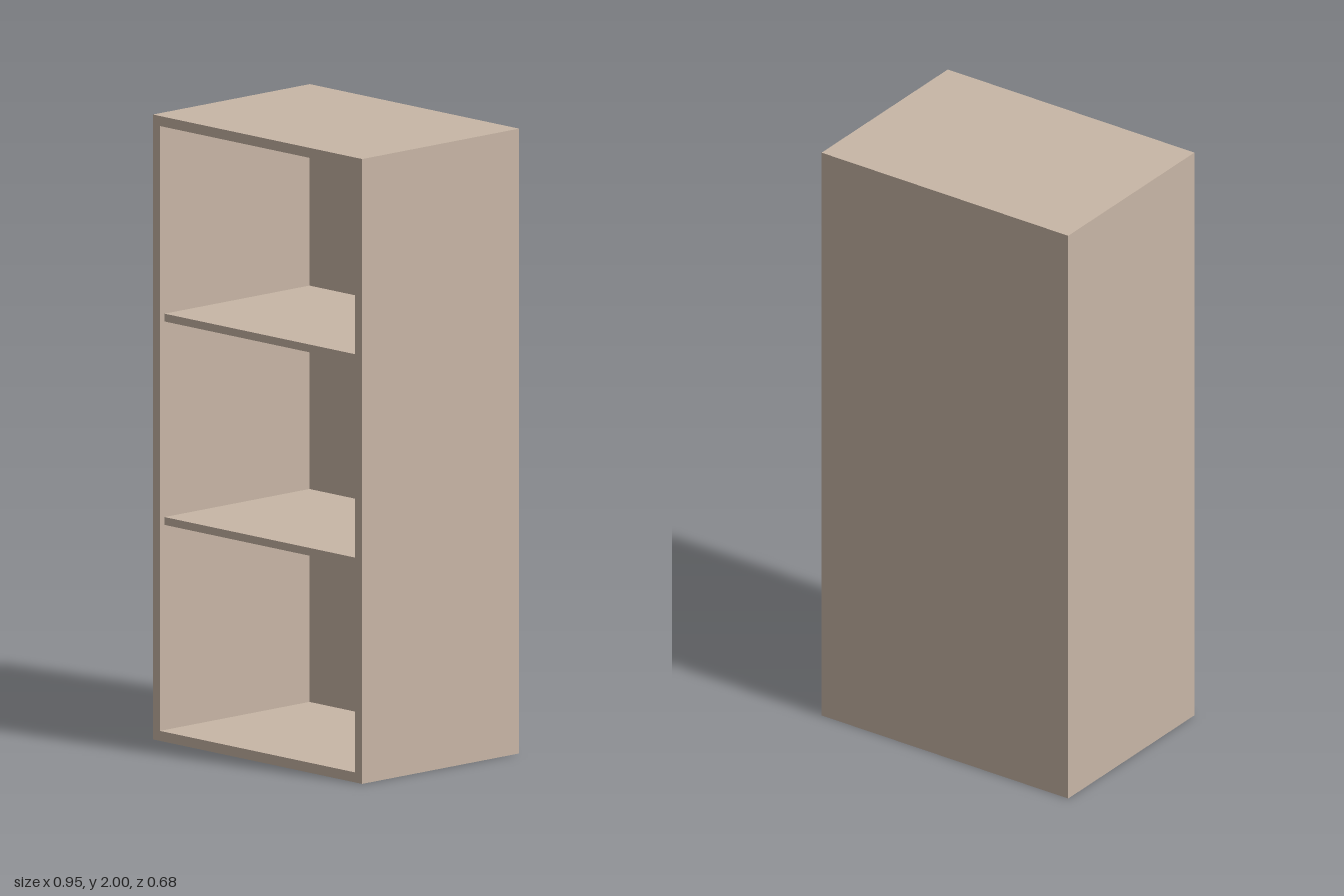
import * as THREE from 'three';

const W = 0.95, H = 2, D = 0.68; // outer size
const T = 0.032;                 // panel thickness
const SHELF_T = 0.025, SHELF_SETBACK = 0.02;

export function createModel() {
  const cabinet = new THREE.Group();
  cabinet.name = 'openCabinet';

  const wood = new THREE.MeshStandardMaterial({ color: 0xc8b6a6 });
  wood.name = 'pale beige';

  const add = (name, geometry, y, z) => {
    const mesh = new THREE.Mesh(geometry, wood);
    mesh.name = name;
    mesh.position.set(0, y, z);
    cabinet.add(mesh);
  };

  const rectangle = (Type, w, y0, y1) => new Type([
    new THREE.Vector2(-w / 2, y0), new THREE.Vector2(w / 2, y0),
    new THREE.Vector2(w / 2, y1), new THREE.Vector2(-w / 2, y1),
  ]);

  // Sides, top and bottom as one seamless frame
  const outline = rectangle(THREE.Shape, W, 0, H);
  outline.holes.push(rectangle(THREE.Path, W - 2 * T, T, H - T));
  add('frame', new THREE.ExtrudeGeometry(outline, { depth: D, bevelEnabled: false }), 0, -D / 2);

  // Back panel, flush with the rear of the frame
  add('backPanel', new THREE.BoxGeometry(W - 2 * T, H - 2 * T, T), H / 2, -D / 2 + T / 2);

  // Two shelves, set slightly back from the front edge
  const shelfDepth = D - T - SHELF_SETBACK;
  const shelfZ = -D / 2 + T + shelfDepth / 2;
  [['lowerShelf', 0.701], ['upperShelf', 1.352]].forEach(([name, y]) => {
    add(name, new THREE.BoxGeometry(W - 2 * T, SHELF_T, shelfDepth), y, shelfZ);
  });

  return cabinet;
}
